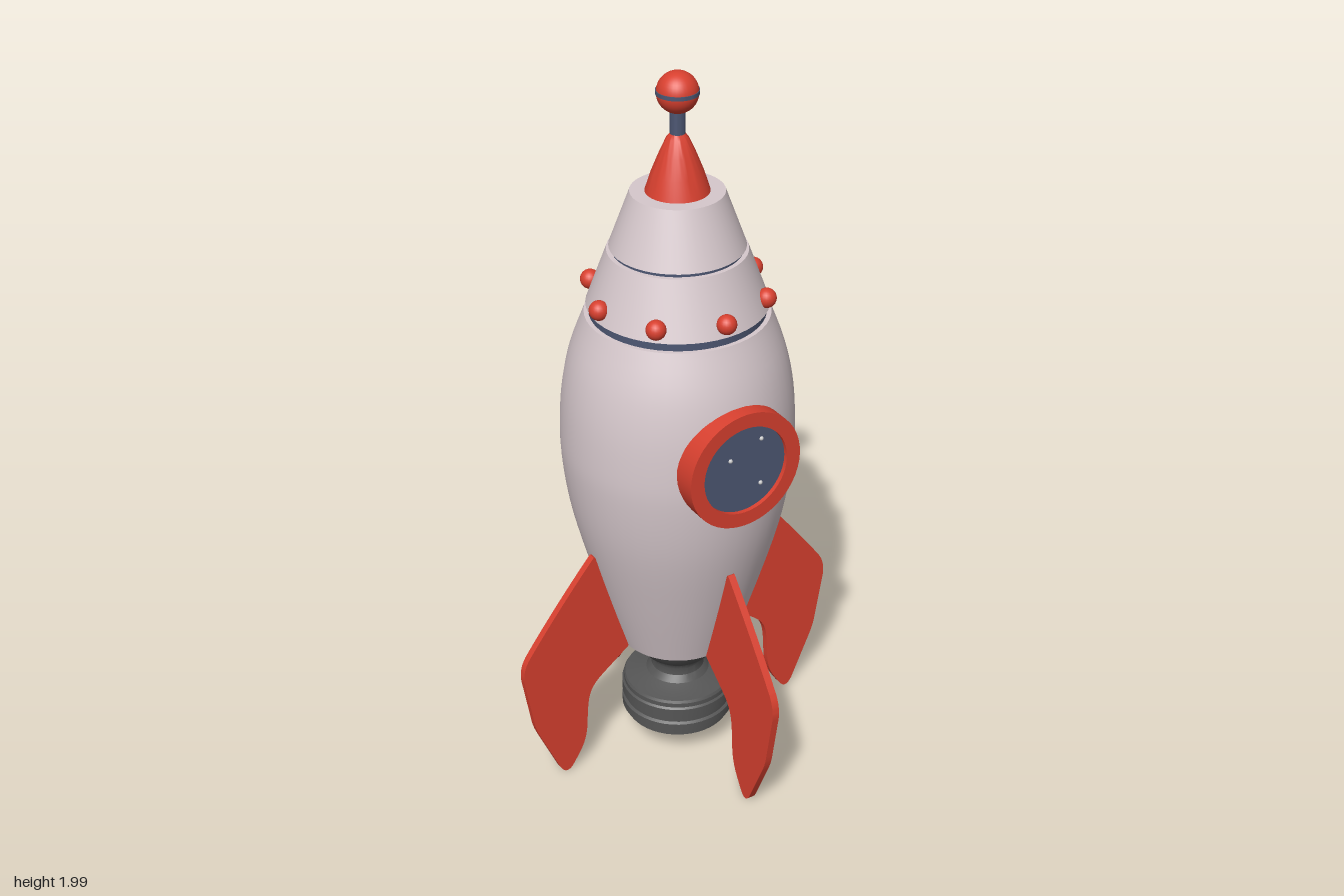
import * as THREE from 'three';
import { toCreasedNormals } from 'three/addons/utils/BufferGeometryUtils.js';

const mat = (color) => new THREE.MeshStandardMaterial({ color, side: THREE.DoubleSide });

export function createModel() {
  const rocket = new THREE.Group();
  rocket.name = 'rocket';
  const shell = mat(0xd6c8cc), red = mat(0xd8402f), blue = mat(0x4d5773), dark = mat(0x555555), white = mat(0xeeeeee);

  const add = (name, geometry, material, parent = rocket) => {
    const mesh = new THREE.Mesh(geometry, material);
    mesh.name = name;
    parent.add(mesh);
    return mesh;
  };
  // Turned part from [radius, y] pairs, with hard edges kept sharp
  const turned = (name, points, material, parent) =>
    add(name, toCreasedNormals(new THREE.LatheGeometry(points.map(([r, y]) => new THREE.Vector2(r, y)), 48), 0.5), material, parent);

  // Hull: smooth barrel with closed ends
  const side = new THREE.SplineCurve([
    [0.165, 0.36], [0.215, 0.52], [0.264, 0.69], [0.291, 0.81], [0.307, 0.93], [0.31, 1.02],
    [0.302, 1.14], [0.28, 1.25], [0.24, 1.36],
  ].map(([r, y]) => new THREE.Vector2(r, y))).getPoints(32).map((p) => [p.x, p.y]);
  turned('hull', [[0, 0.36], ...side, [0, 1.36]], shell);

  // Stepped cone with dark seams
  turned('lowerSeam', [[0.228, 1.35], [0.228, 1.39]], blue);
  turned('lowerCone', [[0, 1.383], [0.235, 1.383], [0.18, 1.533], [0, 1.533]], shell);
  turned('upperSeam', [[0.168, 1.53], [0.168, 1.55]], blue);
  turned('upperCone', [[0, 1.543], [0.174, 1.543], [0.12, 1.69], [0, 1.69]], shell);
  turned('noseCone', [[0.082, 1.69], [0.066, 1.74], [0.046, 1.79], [0.028, 1.83], [0.018, 1.842], [0, 1.843]], red);

  // Antenna
  turned('antennaRod', [[0.019, 1.83], [0.019, 1.91]], blue);
  add('antennaBall', new THREE.SphereGeometry(0.053, 32, 24), red).position.y = 1.947;
  turned('antennaBand', [[0.05, 1.944], [0.0545, 1.944], [0.0545, 1.954], [0.05, 1.954]], blue);

  // Ring of studs
  for (let i = 0; i < 8; i++) {
    const a = (i * Math.PI) / 4;
    add('stud', new THREE.SphereGeometry(0.026, 20, 14), red)
      .position.set(0.23 * Math.sin(a), 1.417, 0.23 * Math.cos(a));
  }

  // Porthole on the front
  const porthole = new THREE.Group();
  porthole.name = 'porthole';
  porthole.position.y = 1.045;
  rocket.add(porthole);
  turned('portholeFrame', [[0.124, 0.22], [0.164, 0.22], [0.164, 0.328], [0.124, 0.328], [0.124, 0.22]], red, porthole)
    .rotation.x = Math.PI / 2;
  const glass = add('portholeGlass', new THREE.CircleGeometry(0.126, 48), blue, porthole);
  glass.position.z = 0.316;
  for (const [x, y] of [[-0.04, 0.035], [0.052, 0.073], [0.052, -0.058]]) {
    add('glassSpeck', new THREE.SphereGeometry(0.006, 10, 8), white, porthole).position.set(x, y, 0.316);
  }

  // Engine: necked mount and hollow grooved bell
  turned('engine', [
    [0, 0.365], [0.134, 0.365], [0.134, 0.345], [0.118, 0.318], [0.096, 0.29], [0.078, 0.275], [0.072, 0.26],
    [0.074, 0.24], [0.088, 0.222], [0.118, 0.212], [0.148, 0.207], [0.152, 0.2], [0.152, 0.187], [0.157, 0.182],
    [0.157, 0.15], [0.15, 0.145], [0.15, 0.135], [0.157, 0.13], [0.157, 0.105], [0.146, 0.1], [0.146, 0.086],
    [0.13, 0.086], [0.122, 0.13], [0.095, 0.17], [0.06, 0.195], [0.05, 0.24], [0, 0.24],
  ], dark);

  // Four fins; the inner edge is buried in the hull
  const outline = new THREE.Shape();
  outline.moveTo(0.15, 0.362);
  outline.lineTo(0.165, 0.36);
  outline.lineTo(0.25, 0.295);
  outline.bezierCurveTo(0.295, 0.26, 0.296, 0.23, 0.3, 0.16);
  outline.bezierCurveTo(0.302, 0.09, 0.315, 0.07, 0.348, 0.02);
  outline.quadraticCurveTo(0.37, -0.012, 0.39, 0.025);
  outline.lineTo(0.449, 0.16);
  outline.quadraticCurveTo(0.462, 0.19, 0.466, 0.22);
  outline.lineTo(0.489, 0.355);
  outline.quadraticCurveTo(0.495, 0.4, 0.47, 0.435);
  outline.quadraticCurveTo(0.38, 0.56, 0.268, 0.69);
  outline.lineTo(0.23, 0.67);
  const fin = new THREE.ExtrudeGeometry(outline, { depth: 0.02, bevelEnabled: false, curveSegments: 10 });
  fin.translate(0, 0, -0.01);
  const finGeometry = toCreasedNormals(fin, 0.6);
  for (let i = 0; i < 4; i++) add('fin', finGeometry, red).rotation.y = (i * Math.PI) / 2;

  return rocket;
}
